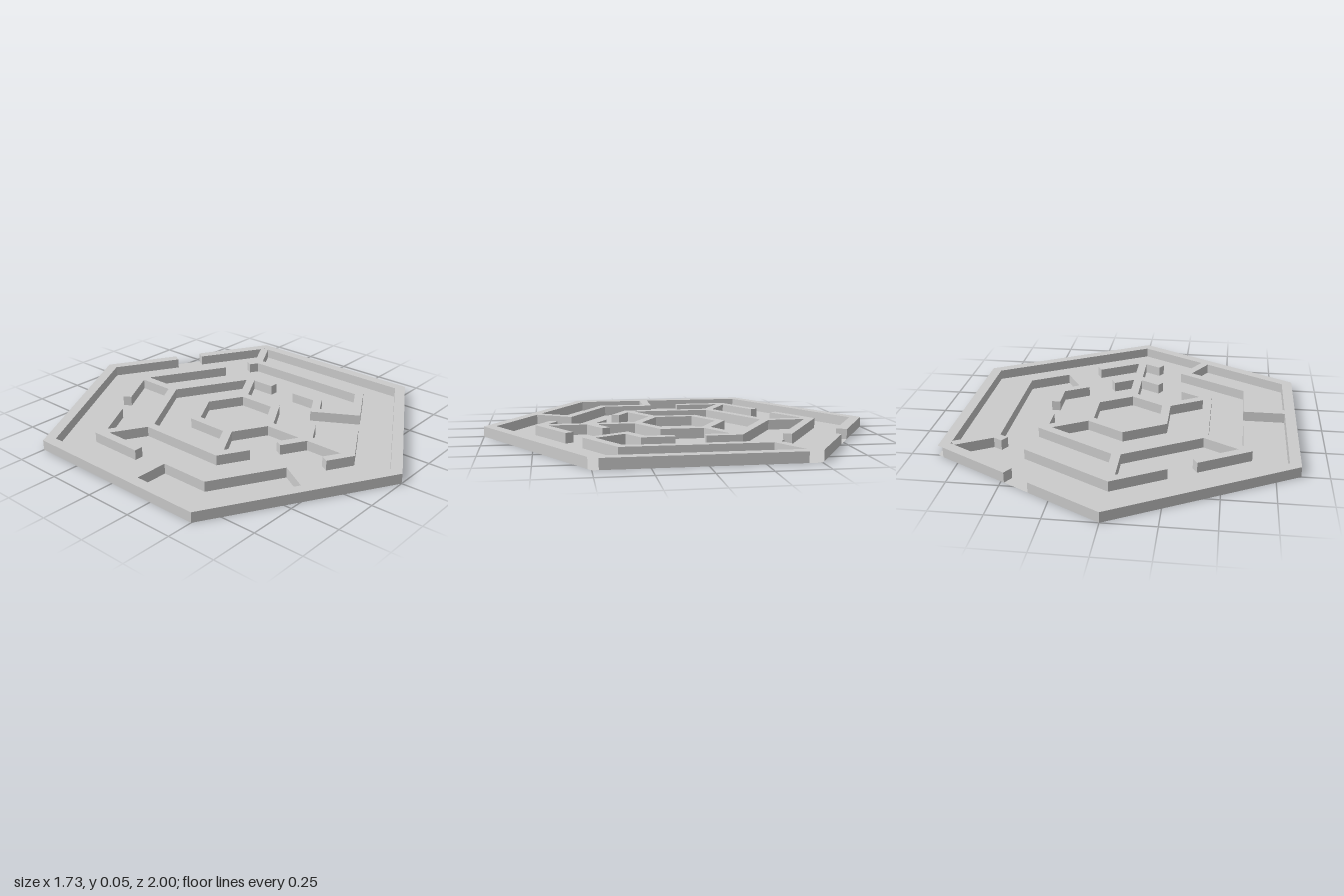
import * as THREE from 'three';

const HEIGHT = 0.052;
const WALL = 0.045;
const SQ = Math.sqrt(3) / 2;

// Point on a hexagon of corner radius r; u runs 0..6 clockwise from the back corner
function hex(r, u) {
  const corner = (i) => new THREE.Vector2(Math.sin(i * Math.PI / 3), -Math.cos(i * Math.PI / 3)).multiplyScalar(r);
  const i = Math.floor(u);
  return corner(i).lerp(corner(i + 1), u - i);
}

// Part of a hexagon from u0 to u1, with the corners passed on the way
function arc(r, u0, u1) {
  const lo = Math.min(u0, u1), hi = Math.max(u0, u1);
  const us = [lo];
  for (let k = Math.floor(lo) + 1; k < hi; k++) us.push(k);
  us.push(hi);
  if (u1 < u0) us.reverse();
  return us.map((u) => hex(r, u));
}

// Mitred wall along a path: top, both sides and optional end caps
function wallGeometry(path, width = WALL, caps = true, openOuter = []) {
  const n = path.length;
  const normals = [];
  for (let i = 0; i < n - 1; i++) {
    const d = path[i + 1].clone().sub(path[i]).normalize();
    normals.push(new THREE.Vector2(d.y, -d.x));
  }
  const a = [], b = [];
  path.forEach((p, i) => {
    const n0 = normals[Math.max(i - 1, 0)], n1 = normals[Math.min(i, n - 2)];
    const m = n0.clone().add(n1).normalize();
    m.multiplyScalar(width / 2 / m.dot(n1));
    a.push(p.clone().add(m));
    b.push(p.clone().sub(m));
  });
  const pos = [];
  const quad = (...q) => [0, 1, 2, 0, 2, 3].forEach((k) => pos.push(q[k][0].x, q[k][1], q[k][0].y));
  const side = (p, q) => quad([p, 0], [p, HEIGHT], [q, HEIGHT], [q, 0]);
  for (let i = 0; i < n - 1; i++) {
    quad([a[i], HEIGHT], [b[i], HEIGHT], [b[i + 1], HEIGHT], [a[i + 1], HEIGHT]);
    if (!openOuter.includes(i)) side(a[i], a[i + 1]);
    side(b[i + 1], b[i]);
  }
  if (caps) {
    side(b[0], a[0]);
    side(a[n - 1], b[n - 1]);
  }
  const g = new THREE.BufferGeometry();
  g.setAttribute('position', new THREE.Float32BufferAttribute(pos, 3));
  g.computeVertexNormals();
  return g;
}

export function createModel() {
  const model = new THREE.Group();
  model.name = 'hexagonalMaze';
  const material = new THREE.MeshStandardMaterial({ color: 0xcccccc });
  const add = (name, geometry, mat = material) => {
    const mesh = new THREE.Mesh(geometry, mat);
    mesh.name = name;
    model.add(mesh);
  };

  // Thin floor sheet
  const floor = new THREE.ShapeGeometry(new THREE.Shape([0, 1, 2, 3, 4, 5].map((i) => hex(1, i))));
  floor.rotateX(-Math.PI / 2);
  add('floor', floor, new THREE.MeshStandardMaterial({ color: 0xcccccc, side: THREE.DoubleSide }));

  // Outer wall with its entrance gap; the faces around two corners are open
  const R1 = 0.22, R2 = 0.467, R3 = 0.716, R4 = 0.969;
  const outer = [0.56, 0.982, 1, 1.046, 1.985, 2, 2.018, 3, 4, 5, 6, 6.408].map((u) => hex(R4, u));
  add('outerWall', wallGeometry(outer, 0.054, true, [1, 2, 4, 5]));

  // Walls that follow the inner rings
  const v = (x, z) => new THREE.Vector2(x, z);
  const walls = {
    centreRing: arc(R1, 0.5, 6.5),
    secondRing: arc(R2, 3.667, 7.352),
    secondRingFront: arc(R2, 2.667, 3.333),
    thirdRingBack: arc(R3, 5.608, 6.698),
    thirdRingBackRight: arc(R3, 4.615, 5.395),
    thirdRingFront: arc(R3, 2.608, 3.187),
    leftHookWall: [...arc(R2, 1.671, 2.289), ...arc(R3, 2.363, 0.911)],
    rightPocketWall: [v(-0.835, 0.095), ...arc(R3, 4.367, 3.435), v(-0.375, 0.74)],
  };
  for (const [name, path] of Object.entries(walls)) add(name, wallGeometry(path));

  // Spokes joining the rings: corner, inner radius, outer radius
  const spokes = [[0, R2, R3], [1, R1, R2], [1, R3, 0.93], [3, R1, R3], [4, R1, R2], [5, R2, R3]];
  spokes.forEach(([corner, r0, r1], i) => {
    add('spoke' + (i + 1), wallGeometry([hex(r0, corner), hex(r1, corner)], WALL, false));
  });

  return model;
}
